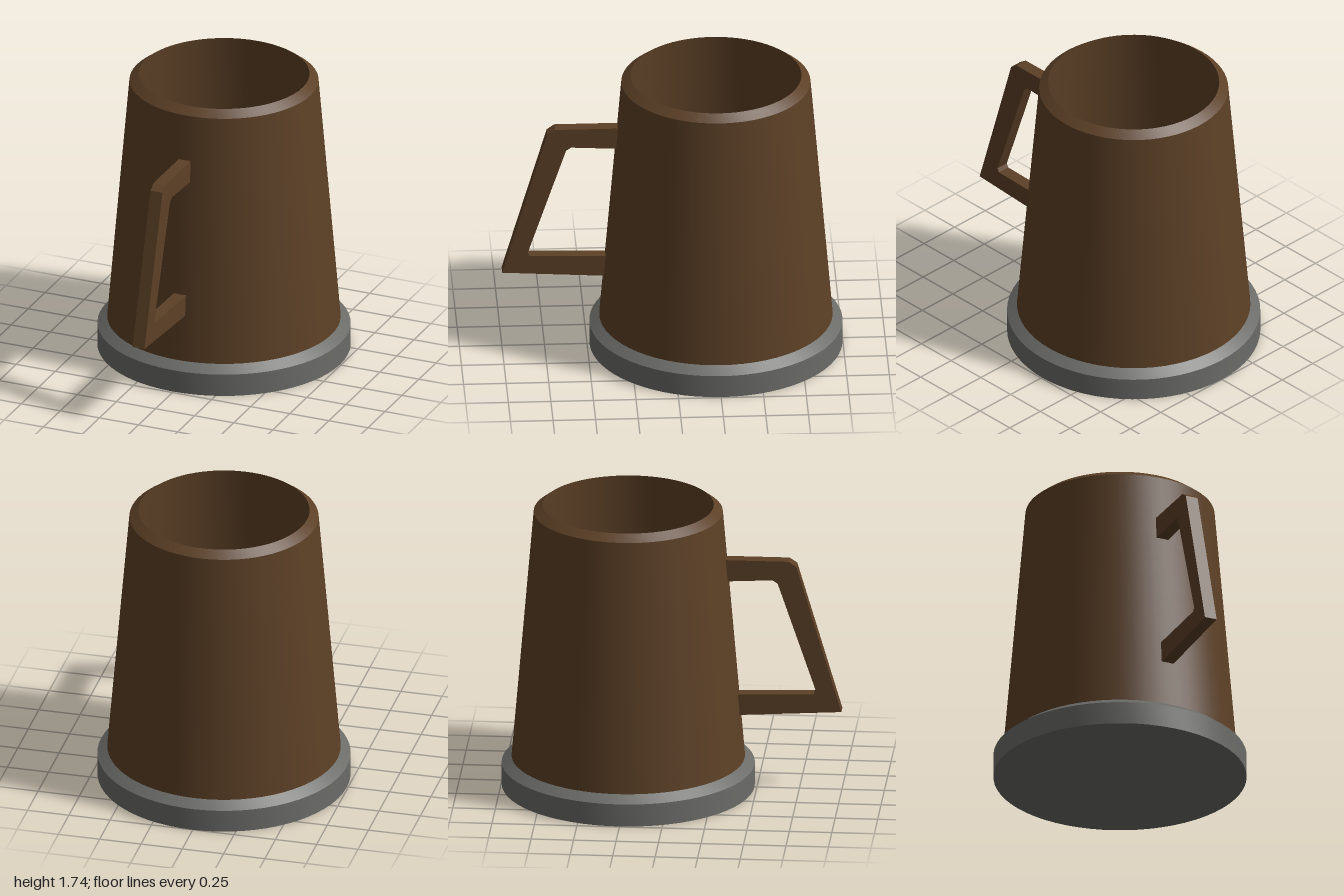
import * as THREE from 'three';
import { toCreasedNormals } from 'three/addons/utils/BufferGeometryUtils.js';

const CENTER_Z = -0.257;

// Turned solid with crisp edges between profile segments
function turned(profile, material, name) {
  const points = profile.map(([r, y]) => new THREE.Vector2(r, y));
  const geometry = toCreasedNormals(new THREE.LatheGeometry(points, 64), 0.5);
  const mesh = new THREE.Mesh(geometry, material);
  mesh.name = name;
  mesh.position.z = CENTER_Z;
  return mesh;
}

export function createModel() {
  const wood = new THREE.MeshStandardMaterial({ color: 0x5c4026 });
  wood.name = 'brown wood';
  const metal = new THREE.MeshStandardMaterial({ color: 0x6b6c68 });
  metal.name = 'grey metal';

  const group = new THREE.Group();
  group.name = 'tankard';

  // Metal foot: closed disc with a chamfered upper edge
  group.add(turned(
    [[0, 0], [0.743, 0], [0.743, 0.137], [0.685, 0.18], [0, 0.18]],
    metal, 'base'));

  // Tapered cup: outer wall, bevelled rim, inner wall, floor
  group.add(turned(
    [[0.685, 0.18], [0.555, 1.7], [0.502, 1.74], [0.625, 0.22], [0, 0.22]],
    wood, 'cup'));

  // Angular handle, drawn in (z, y) and extruded across x
  const outline = [
    [0.3, 1.423], [0.69, 1.423], [0.735, 1.392], [1.0, 0.495], [0.4, 0.46],
    [0.38, 0.588], [0.838, 0.6], [0.85, 0.622], [0.625, 1.285], [0.595, 1.305], [0.31, 1.29],
  ].map(([z, y]) => new THREE.Vector2(z, y));
  const width = 0.076;
  const handleGeometry = new THREE.ExtrudeGeometry(new THREE.Shape(outline), { depth: width, bevelEnabled: false });
  handleGeometry.translate(0, 0, -width / 2);
  handleGeometry.rotateY(-Math.PI / 2);
  const handle = new THREE.Mesh(handleGeometry, wood);
  handle.name = 'handle';
  group.add(handle);

  return group;
}
